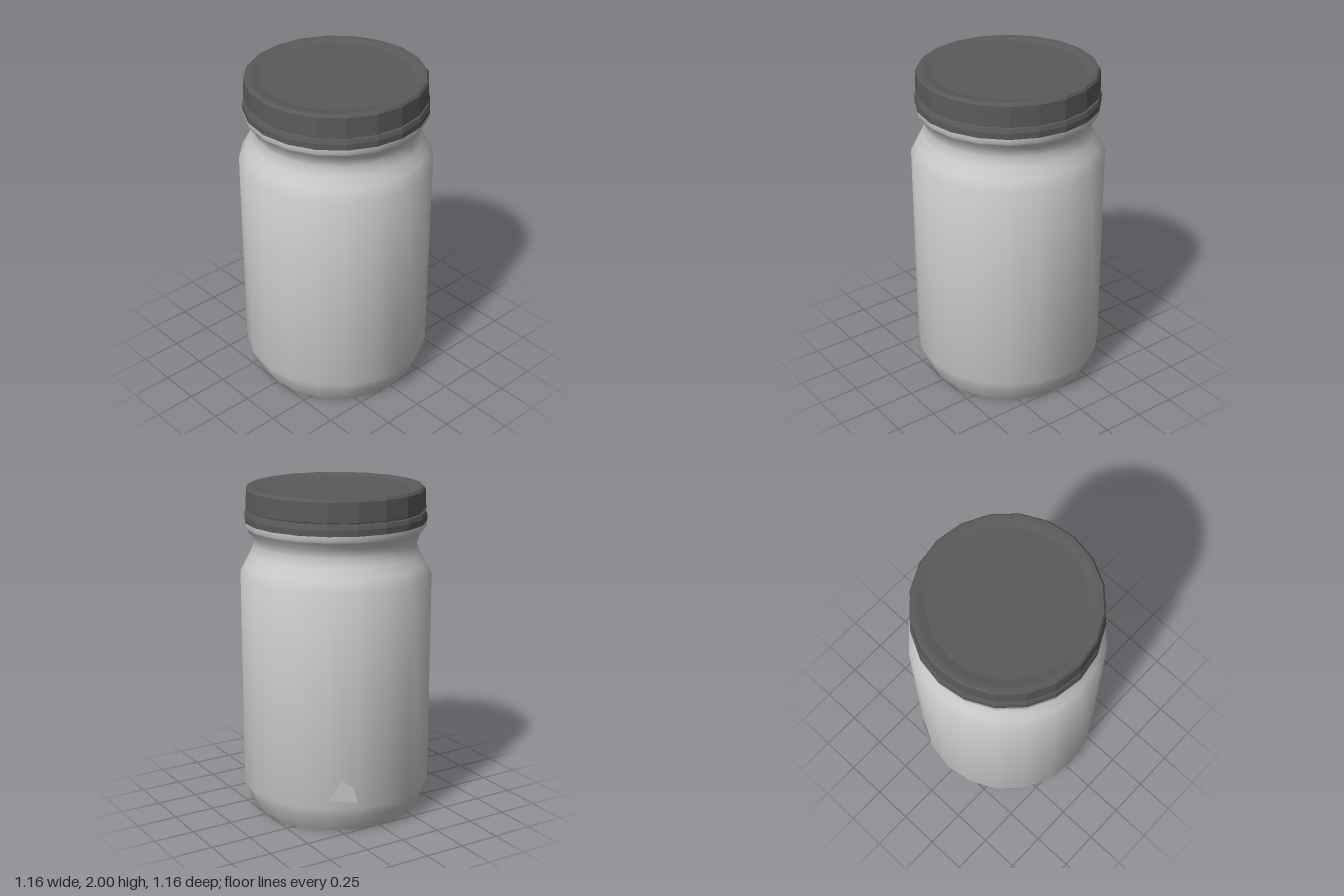
import * as THREE from 'three';
import { toCreasedNormals } from 'three/addons/utils/BufferGeometryUtils.js';
import { ConvexGeometry } from 'three/addons/geometries/ConvexGeometry.js';

const SIDES = 20;

// Turned part from [radius, height] pairs, listed from bottom to top
function turned(name, profile, color, crease) {
  const points = profile.map(([r, y]) => new THREE.Vector2(r, y));
  const geometry = toCreasedNormals(new THREE.LatheGeometry(points, SIDES), crease);
  const mesh = new THREE.Mesh(geometry, new THREE.MeshStandardMaterial({ color }));
  mesh.name = name;
  return mesh;
}

export function createModel() {
  const group = new THREE.Group();
  group.name = 'jar';

  // Glass body with rounded base, shoulder, neck and lip
  group.add(turned('jarBody', [
    [0, 0], [0.505, 0], [0.53, 0.04], [0.555, 0.1], [0.58, 0.165],
    [0.58, 1.475], [0.545, 1.54], [0.51, 1.605], [0.49, 1.66],
    [0.505, 1.71], [0.535, 1.75], [0.545, 1.765], [0.545, 1.796], [0.5, 1.796],
  ], 0xcccccc, 0.8));

  // Screw lid: lower bead, groove, band and a shallow recessed top
  group.add(turned('lid', [
    [0.5, 1.794], [0.547, 1.794], [0.548, 1.83], [0.54, 1.855],
    [0.53, 1.858], [0.53, 1.866], [0.54, 1.87], [0.536, 1.985],
    [0.525, 2], [0.5, 2], [0.45, 1.988], [0, 1.988],
  ], 0x5a5a5a, 0.2));

  // Small chip standing slightly proud of the back wall
  const corners = [
    [0.28, 0.357, -0.515], [0.337, 0.22, -0.473],
    [0.19, 0.209, -0.557], [0.213, 0.3, -0.545], [0.25, 0.26, -0.49],
  ].map((p) => new THREE.Vector3(...p));
  const chip = new THREE.Mesh(
    new ConvexGeometry(corners),
    new THREE.MeshStandardMaterial({ color: 0xcccccc, flatShading: true }),
  );
  chip.name = 'wallChip';
  group.add(chip);

  return group;
}
